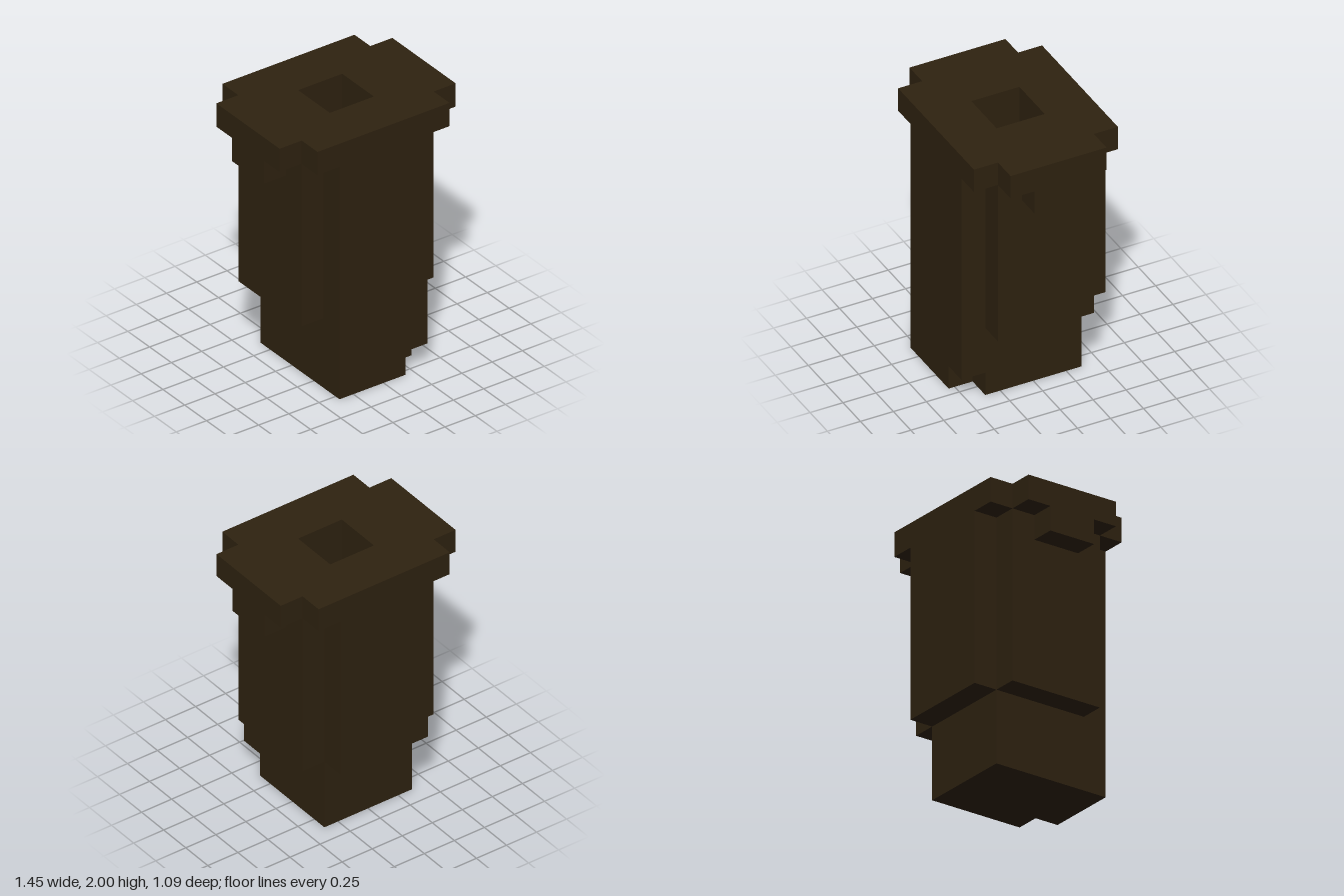
import * as THREE from 'three';

const U = 2 / 11; // one block unit

// Mirror a quarter outline (+x, +z corner) into a full symmetric outline
function mirrored(quarter) {
  const back = [...quarter].reverse();
  return [
    ...quarter,
    ...back.map(([x, z]) => [-x, z]),
    ...quarter.map(([x, z]) => [-x, -z]),
    ...back.map(([x, z]) => [x, -z]),
  ];
}

const toVectors = (points) => points.map(([x, z]) => new THREE.Vector2(x * U, z * U));

// Vertical prism from a plan outline (x, z), between two heights in units
function layer(name, outline, bottom, top, material, hole) {
  const shape = new THREE.Shape(toVectors(outline));
  if (hole) shape.holes.push(new THREE.Path(toVectors(hole)));
  const geometry = new THREE.ExtrudeGeometry(shape, { depth: (top - bottom) * U, bevelEnabled: false });
  geometry.rotateX(Math.PI / 2).translate(0, top * U, 0);
  const mesh = new THREE.Mesh(geometry, material);
  mesh.name = name;
  return mesh;
}

export function createModel() {
  const group = new THREE.Group();
  group.name = 'blockPost';
  const darkBrown = new THREE.MeshStandardMaterial({ color: 0x2e2210 });
  darkBrown.name = 'darkBrown';

  const socket = mirrored([[1, 1]]);

  group.add(
    // Foot with one chipped front corner
    layer('foot', [[2, -2], [2, 2], [1, 2], [1, 3], [-2, 3], [-2, -2]], 0, 1, darkBrown),
    layer('base', [[2, -2], [2, 3], [-2, 3], [-2, -2]], 1, 3, darkBrown),
    // Cross-shaped shaft
    layer('shaft', mirrored([[3, 2], [2, 2], [2, 3]]), 3, 9, darkBrown),
    // Collar with side brackets, and the cap, both pierced by the socket
    layer('collar', mirrored([[4, 1], [3, 1], [3, 2], [2, 2], [2, 3]]), 9, 10, darkBrown, socket),
    layer('cap', mirrored([[4, 2], [3, 2], [3, 3]]), 10, 11, darkBrown, socket),
  );
  return group;
}
